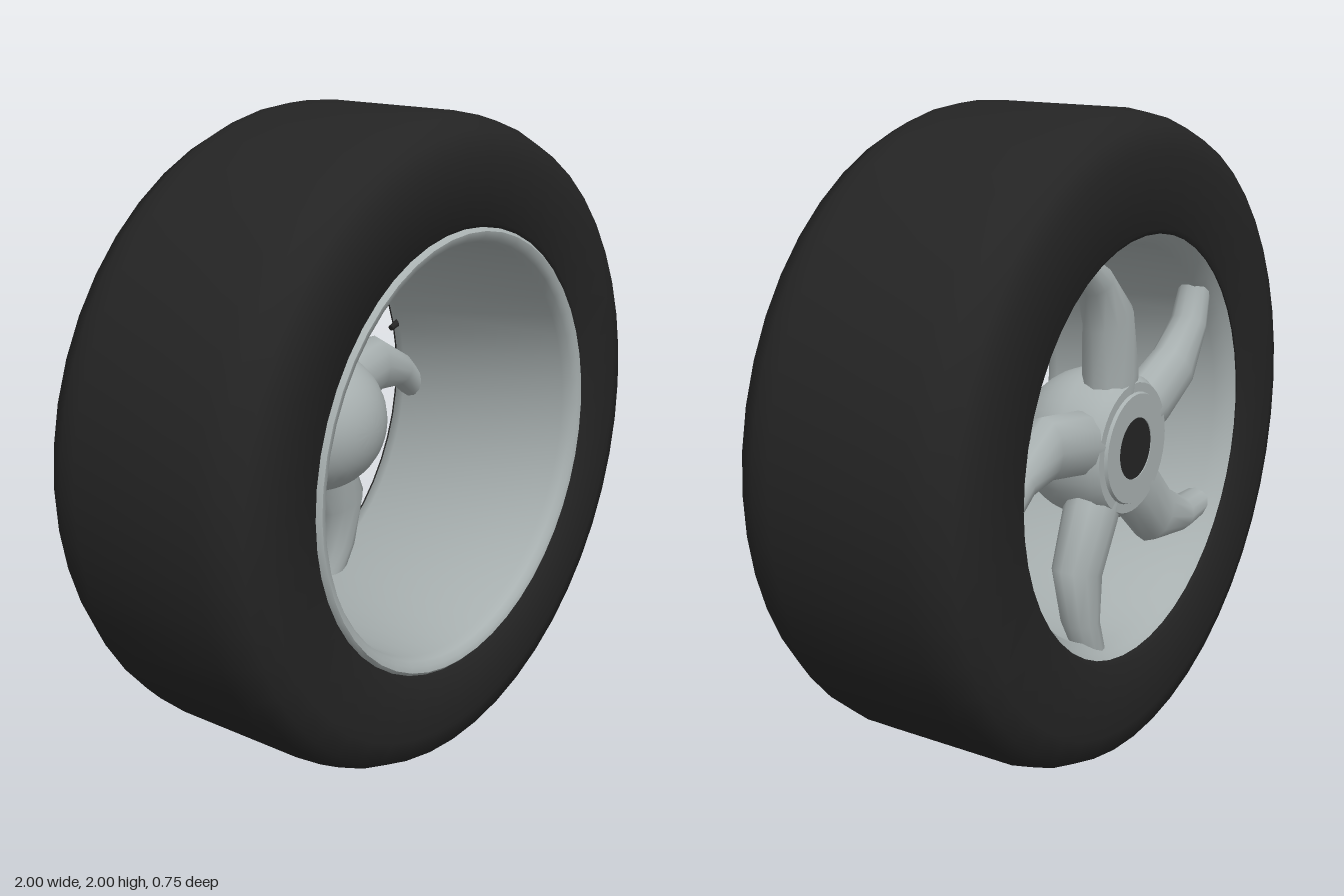
import * as THREE from 'three';
import { toCreasedNormals } from 'three/addons/utils/BufferGeometryUtils.js';

const rubber = new THREE.MeshStandardMaterial({ name: 'black rubber', color: 0x242424 });
const metal = new THREE.MeshStandardMaterial({ name: 'grey metal', color: 0xa8b0b0 });

// Turned part around the z axle; profile points are [radius, z]
function turned(name, profile, material, segments = 48, crease = 0.9) {
  const points = profile.map(([r, z]) => new THREE.Vector2(r, z));
  const geometry = new THREE.LatheGeometry(points, segments).rotateX(Math.PI / 2);
  const mesh = new THREE.Mesh(toCreasedNormals(geometry, crease), material);
  mesh.name = name;
  return mesh;
}

// Curved spoke lofted through oval sections: [left x, y, right x, y, half depth, z]
function spokeGeometry() {
  const sections = [
    [-0.085, 0.15, 0.1, 0.14, 0.08, -0.255],
    [-0.085, 0.235, 0.11, 0.21, 0.08, -0.26],
    [-0.053, 0.43, 0.13, 0.37, 0.07, -0.265],
    [0.09, 0.56, 0.18, 0.49, 0.06, -0.275],
    [0.19, 0.615, 0.285, 0.565, 0.05, -0.28],
  ];
  const sides = 12;
  const positions = [];
  const index = [];
  sections.forEach(([lx, ly, rx, ry, depth, z], s) => {
    for (let i = 0; i < sides; i++) {
      const a = (i / sides) * Math.PI * 2;
      const t = (1 + Math.cos(a)) / 2;
      positions.push(lx + (rx - lx) * t, ly + (ry - ly) * t, z + depth * Math.sin(a));
      if (s < sections.length - 1) {
        const p = s * sides + i;
        const q = s * sides + ((i + 1) % sides);
        index.push(p, p + sides, q, q, p + sides, q + sides);
      }
    }
  });
  const geometry = new THREE.BufferGeometry();
  geometry.setAttribute('position', new THREE.Float32BufferAttribute(positions, 3));
  geometry.setIndex(index);
  geometry.computeVertexNormals();
  return geometry;
}

export function createModel() {
  const model = new THREE.Group();
  model.name = 'wheel';
  const wheel = new THREE.Group();
  wheel.name = 'wheelAssembly';
  wheel.position.y = 1;
  model.add(wheel);

  // Tire with rounded shoulders
  wheel.add(turned('tire', [
    [0.645, -0.365], [0.66, -0.375], [0.885, -0.375], [0.955, -0.355], [0.988, -0.29], [1, -0.225],
    [1, 0.225], [0.988, 0.29], [0.955, 0.355], [0.885, 0.375], [0.69, 0.375],
    [0.675, 0.36], [0.675, 0.3], [0.66, -0.3], [0.645, -0.365],
  ], rubber));

  // Rim: rolled front lip, tapering barrel, rear flange
  wheel.add(turned('rim', [
    [0.678, 0.34], [0.678, 0.37], [0.668, 0.38], [0.65, 0.376], [0.637, 0.36], [0.63, 0.33],
    [0.607, -0.3], [0.63, -0.34], [0.648, -0.362],
  ], metal));

  // Hub: stepped rear collar and domed front
  const hubProfile = [[0.095, -0.33], [0.095, -0.345], [0.168, -0.345], [0.172, -0.335], [0.2, -0.335], [0.218, -0.31]];
  for (let i = 0; i <= 10; i++) {
    const a = (i / 10) * Math.PI / 2;
    hubProfile.push([0.23 * Math.cos(a), -0.2 + 0.23 * Math.sin(a)]);
  }
  wheel.add(turned('hub', hubProfile, metal, 40, 0.6));

  // Dark axle opening at the rear of the hub
  wheel.add(turned('axleOpening', [[0, -0.342], [0.096, -0.342]], rubber, 32));

  // Five swept spokes
  const spoke = spokeGeometry();
  for (let i = 0; i < 5; i++) {
    const mesh = new THREE.Mesh(spoke, metal);
    mesh.name = 'spoke';
    mesh.rotation.z = (i * Math.PI * 2) / 5;
    wheel.add(mesh);
  }

  // Small valve stem inside the rear flange
  const valve = new THREE.Mesh(new THREE.CylinderGeometry(0.01, 0.014, 0.06, 10), rubber);
  valve.name = 'valveStem';
  const angle = 0.3;
  valve.position.set(0.605 * Math.cos(angle), 0.605 * Math.sin(angle), -0.315);
  valve.rotation.z = angle + Math.PI / 2;
  wheel.add(valve);

  return model;
}
